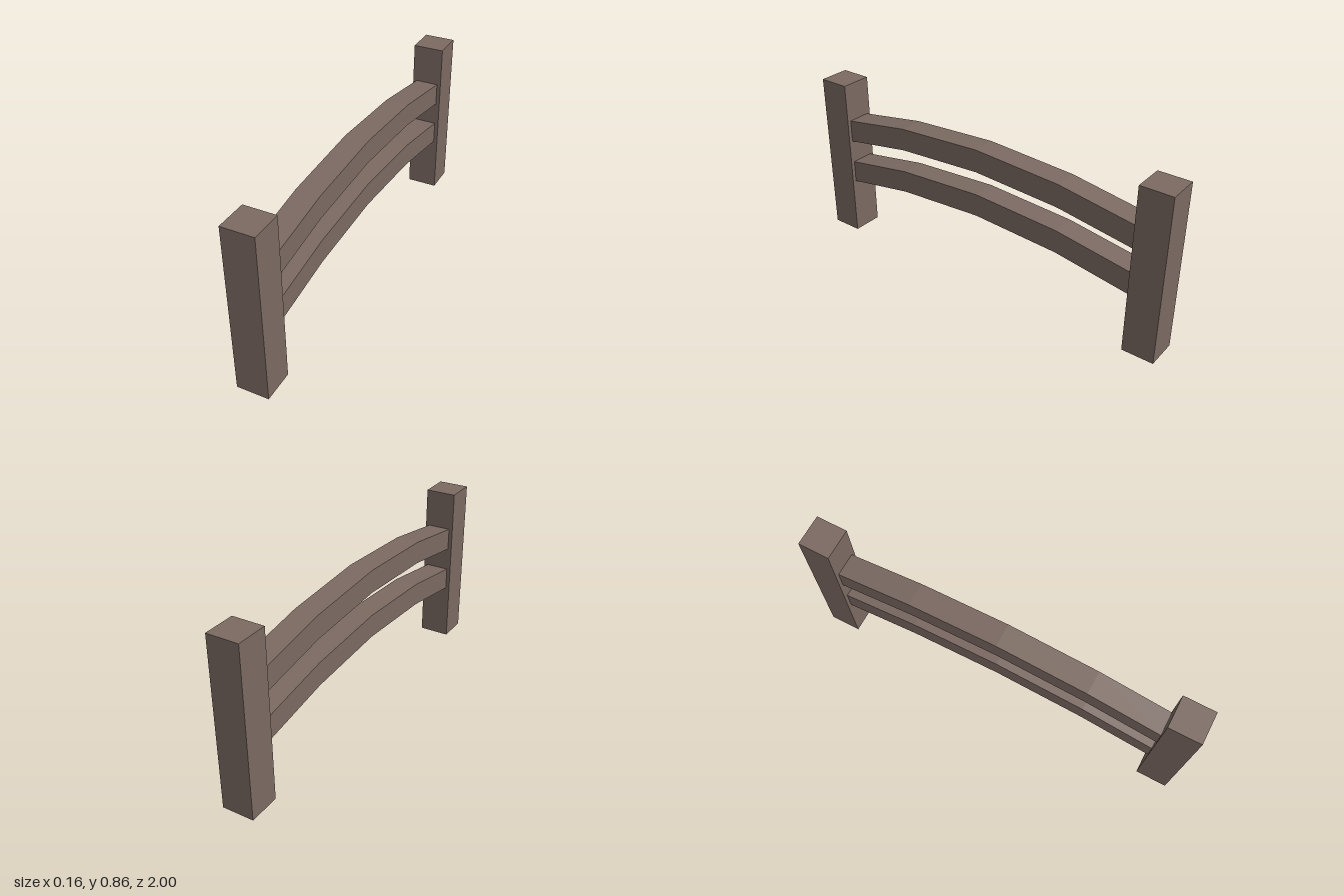
import * as THREE from 'three';

export function createModel() {
  const model = new THREE.Group();
  const wood = new THREE.MeshStandardMaterial({ color: 0x7b6a62, side: THREE.DoubleSide });
  wood.name = 'brown wood';

  // Square posts, hollow and open underneath
  const postHeight = 0.855;
  const postGeometry = new THREE.BoxGeometry(0.16, postHeight, 0.16);
  const faces = Array.from(postGeometry.index.array);
  faces.splice(18, 6); // drop the bottom face
  postGeometry.setIndex(faces);
  postGeometry.clearGroups();
  for (const [name, z] of [['frontPost', 0.92], ['backPost', -0.92]]) {
    const post = new THREE.Mesh(postGeometry, wood);
    post.name = name;
    post.position.set(0, postHeight / 2, z);
    model.add(post);
  }

  // Bowed rails: a bent side outline (z, y of the top edge) given width along x
  const thickness = 0.117, width = 0.12;
  const top = [[-0.84, 0.652], [-0.446, 0.715], [0.011, 0.742], [0.471, 0.715], [0.84, 0.655]];
  const outline = [
    ...top.map(([z, y]) => new THREE.Vector2(z, y - thickness)),
    ...top.map(([z, y]) => new THREE.Vector2(z, y)).reverse(),
  ];
  const railGeometry = new THREE.ExtrudeGeometry(new THREE.Shape(outline), { depth: width, bevelEnabled: false });
  railGeometry.translate(0, 0, -width / 2).rotateY(-Math.PI / 2);
  for (const [name, drop] of [['upperRail', 0], ['lowerRail', 0.239]]) {
    const rail = new THREE.Mesh(railGeometry, wood);
    rail.name = name;
    rail.position.y = -drop;
    model.add(rail);
  }

  return model;
}
